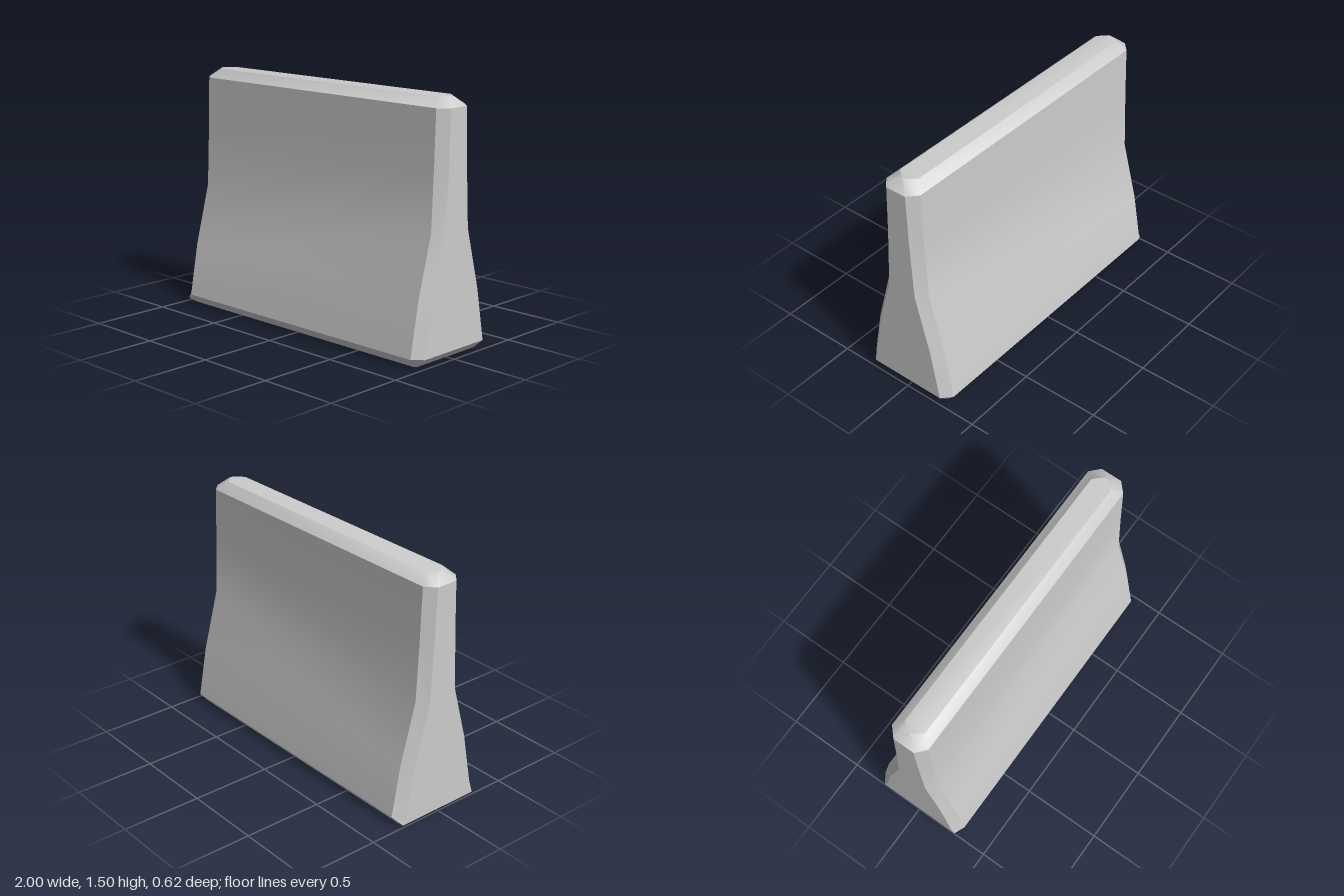
import * as THREE from 'three';
import { toCreasedNormals } from 'three/addons/utils/BufferGeometryUtils.js';

// Mirrors four front points [x, y, z] to the back, giving an eight-sided ring
const mirrorRing = (front) => [...front, ...front.slice().reverse().map(([x, y, z]) => [x, y, -z])];

// Level ring with cut corners: side faces at zOut, end faces at xOut
const ring = (y, zOut, zIn, xOut = 1, xIn = 0.94) =>
  mirrorRing([[xOut, y, zIn], [xIn, y, zOut], [-xIn, y, zOut], [-xOut, y, zIn]]);

// Skins stacked rings and closes both ends with strips
function loft(rings) {
  const index = [];
  const quad = (a, b, c, d) => index.push(a, b, c, a, c, d);
  for (let k = 0; k < rings.length - 1; k++) {
    for (let i = 0; i < 8; i++) {
      const j = (i + 1) % 8;
      const a = k * 8 + i, b = k * 8 + j, c = b + 8, d = a + 8;
      // Diagonals mirror between front and back
      if (i < 4) quad(b, a, d, c);
      else quad(a, d, c, b);
    }
  }
  const top = (rings.length - 1) * 8;
  for (let i = 0; i < 3; i++) {
    quad(i, i + 1, 6 - i, 7 - i);
    quad(top + i, top + 7 - i, top + 6 - i, top + i + 1);
  }
  const geometry = new THREE.BufferGeometry();
  geometry.setAttribute('position', new THREE.Float32BufferAttribute(rings.flat(2), 3));
  geometry.setIndex(index);
  return toCreasedNormals(geometry, 0.6);
}

export function createModel() {
  const group = new THREE.Group();
  group.name = 'barrier';

  const rings = [
    // Underside: bevelled at the +x end, nearly square at the -x end
    mirrorRing([[0.94, 0, 0.25], [0.92, 0, 0.265], [-0.94, 0, 0.265], [-1, 0.015, 0.275]]),
    // Flared foot
    ring(0.055, 0.31, 0.255),
    ring(0.38, 0.25, 0.195),
    // Slim upper wall
    ring(0.75, 0.15, 0.097),
    ring(1.13, 0.133, 0.077),
    ring(1.445, 0.123, 0.068),
    // Bevelled top
    ring(1.5, 0.066, 0.012, 0.94, 0.885),
  ];

  const wall = new THREE.Mesh(loft(rings), new THREE.MeshStandardMaterial({ color: 0xcccccc }));
  wall.name = 'barrierWall';
  group.add(wall);
  return group;
}
